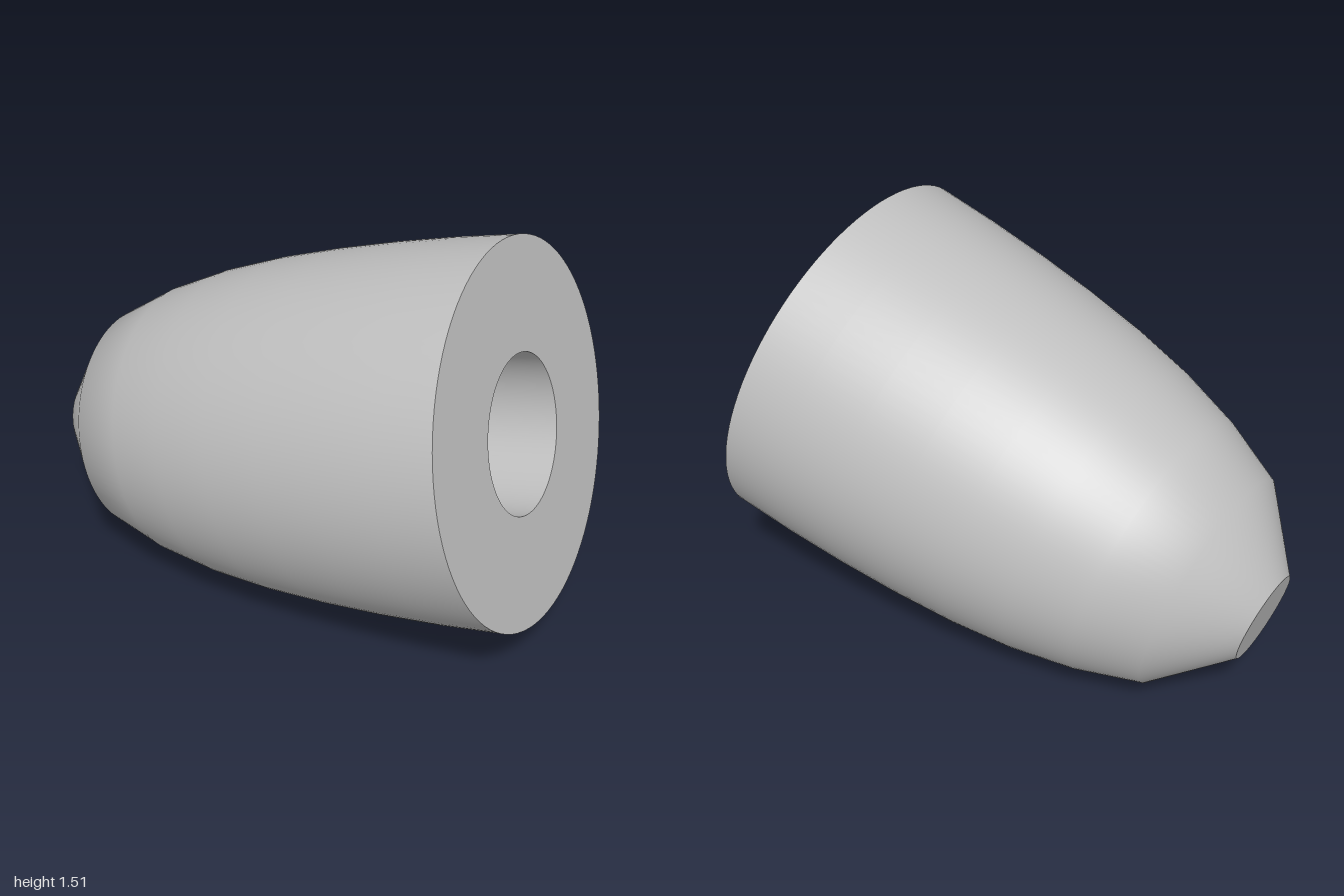
import * as THREE from 'three';

export function createModel() {
  const model = new THREE.Group();
  model.name = 'boredPlug';
  const grey = new THREE.MeshStandardMaterial({ color: 0xc0c0c0 });
  grey.name = 'light grey';

  const length = 1.83, boreRadius = 0.284, boreFloor = 0.48;

  // Revolve [radius, height] pairs; rising profiles face outward, falling ones inward
  const revolve = (name, profile) => {
    const points = profile.map(([r, y]) => new THREE.Vector2(r, y));
    const mesh = new THREE.Mesh(new THREE.LatheGeometry(points, 96), grey);
    mesh.name = name;
    model.add(mesh);
  };

  // Rounded outer wall: evenly spaced rings from the blunt tip to the wide face
  const radii = [0.168, 0.42, 0.514, 0.577, 0.619, 0.647, 0.667, 0.68, 0.686];
  const step = length / (radii.length - 1);
  revolve('outerWall', radii.map((r, i) => [r, i * step]));

  // Flat ends and the blind bore
  revolve('tipFace', [[0, 0], [radii[0], 0]]);
  revolve('wideFace', [[radii.at(-1), length], [boreRadius, length]]);
  revolve('boreWall', [[boreRadius, length], [boreRadius, boreFloor]]);
  revolve('boreFloor', [[boreRadius, boreFloor], [0, boreFloor]]);

  // Lay the axis over, with the bored face towards +x and slightly up and forward
  const axis = new THREE.Vector3(0.955, 0.248, 0.16).normalize();
  model.quaternion.setFromUnitVectors(new THREE.Vector3(0, 1, 0), axis);
  model.position.set(-0.95, 0.379, -0.253);

  const root = new THREE.Group();
  root.name = 'model';
  root.add(model);
  return root;
}
